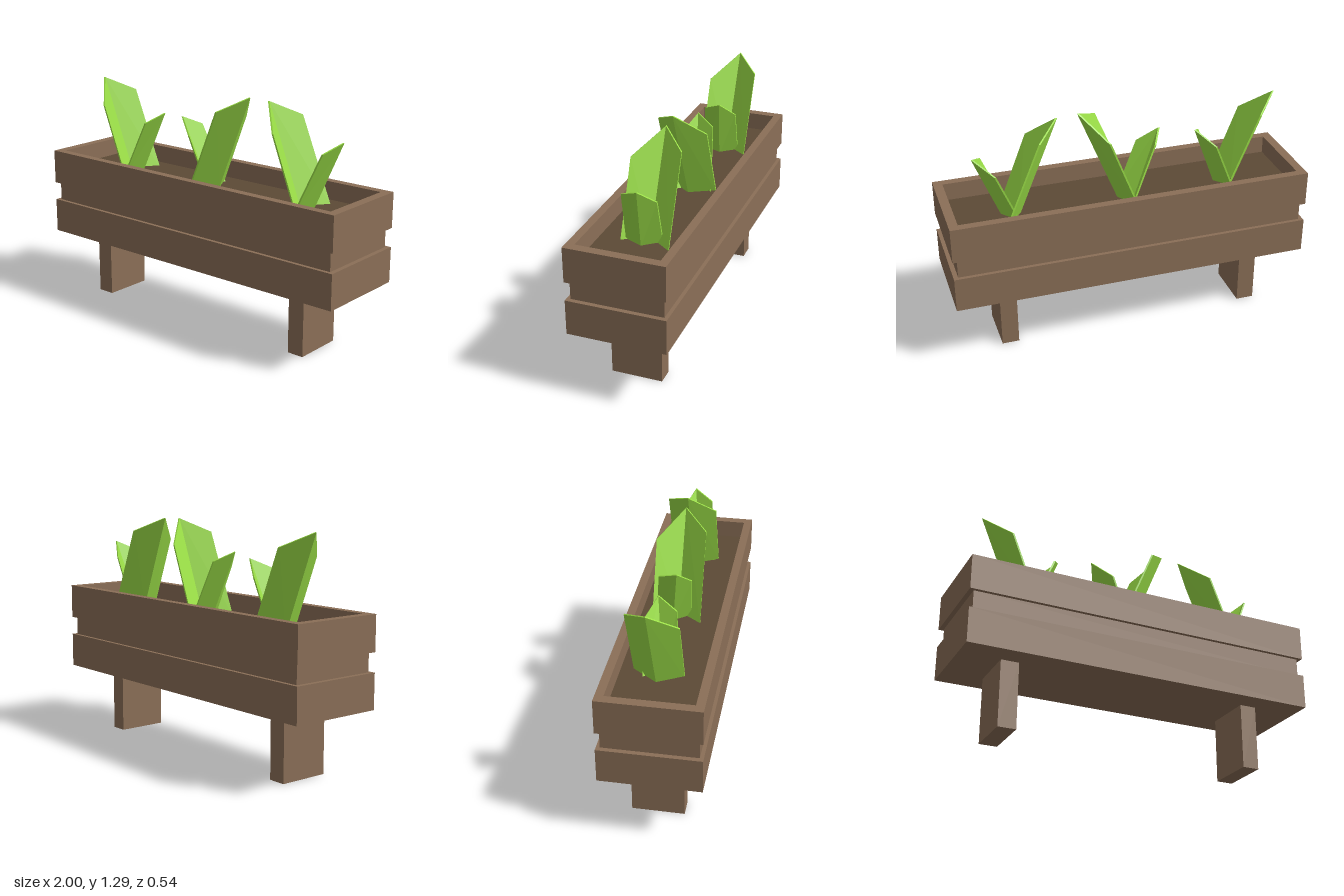
import * as THREE from 'three';

const wood = new THREE.MeshStandardMaterial({ color: 0x8b6f57, flatShading: true });
const earth = new THREE.MeshStandardMaterial({ color: 0x5c4a36, flatShading: true });
const green = new THREE.MeshStandardMaterial({ color: 0x9ce048, flatShading: true, side: THREE.DoubleSide });

function part(name, geometry, material, parent) {
  const mesh = new THREE.Mesh(geometry, material);
  mesh.name = name;
  parent.add(mesh);
  return mesh;
}

function box(name, x0, x1, y0, y1, halfDepth, material, parent) {
  const mesh = part(name, new THREE.BoxGeometry(x1 - x0, y1 - y0, halfDepth * 2), material, parent);
  mesh.position.set((x0 + x1) / 2, (y0 + y1) / 2, 0);
}

function rectangle(path, hx, hz) {
  path.moveTo(-hx, -hz);
  path.lineTo(hx, -hz);
  path.lineTo(hx, hz);
  path.lineTo(-hx, hz);
  path.closePath();
  return path;
}

// Rectangular wooden frame, open in the middle
function frame(name, hx, hz, y0, y1, parent) {
  const shape = rectangle(new THREE.Shape(), hx, hz);
  shape.holes.push(rectangle(new THREE.Path(), 0.95, 0.225));
  const geometry = new THREE.ExtrudeGeometry(shape, { depth: y1 - y0, bevelEnabled: false });
  geometry.rotateX(-Math.PI / 2);
  geometry.translate(0, y0, 0);
  part(name, geometry, wood, parent);
}

// Folded blade: base and top sections of [edge, keel, edge], thickened by t along x
function leafGeometry(base, top, t) {
  const ring = (s) => [...s, ...[...s].reverse().map(([x, y, z]) => [x + t, y, z])];
  const points = [...ring(base), ...ring(top)];
  const index = [];
  for (let i = 0; i < 6; i++) {
    const j = (i + 1) % 6;
    index.push(i, j, 6 + j, i, 6 + j, 6 + i);
  }
  // Thin end strips
  index.push(6, 7, 10, 6, 10, 11, 7, 8, 9, 7, 9, 10);
  index.push(0, 4, 1, 0, 5, 4, 1, 3, 2, 1, 4, 3);
  let geometry = new THREE.BufferGeometry();
  geometry.setAttribute('position', new THREE.Float32BufferAttribute(points.flat(), 3));
  geometry.setIndex(index);
  // Wind the faces outward whichever way the blade leans
  if (t < 0) geometry.setIndex(index.map((_, i) => index[i - (i % 3) + [0, 2, 1][i % 3]]));
  geometry = geometry.toNonIndexed();
  geometry.computeVertexNormals();
  return geometry;
}

export function createModel() {
  const model = new THREE.Group();
  model.name = 'planter';

  // Trough of three plank bands, with a floor and soil
  frame('lowerBand', 1, 0.27, 0.365, 0.56, model);
  frame('middleBand', 0.975, 0.25, 0.56, 0.665, model);
  frame('upperBand', 1, 0.27, 0.665, 0.86, model);
  box('floor', -0.95, 0.95, 0.365, 0.4, 0.225, wood, model);
  box('soil', -0.95, 0.95, 0.4, 0.76, 0.225, earth, model);

  // Legs
  box('rightLeg', -0.775, -0.675, 0, 0.365, 0.142, wood, model);
  box('leftLeg', 0.65, 0.745, 0, 0.365, 0.142, wood, model);

  // Plants, each a tall and a short leaf leaning apart
  const tallLeaf = leafGeometry(
    [[0.045, 0.75, 0.11], [-0.03, 0.75, -0.025], [0.07, 0.75, -0.16]],
    [[-0.115, 1.155, 0.11], [-0.25, 1.29, -0.03], [-0.125, 1.215, -0.16]], 0.01);
  const shortLeaf = leafGeometry(
    [[0.025, 0.75, 0.09], [0.07, 0.75, -0.01], [-0.005, 0.75, -0.1]],
    [[0.165, 1.08, 0.05], [0.22, 1.13, -0.055], [0.115, 1.04, -0.118]], -0.01);
  for (const [x, y, z, turn] of [[-0.62, -0.015, 0, 0], [0, 0.003, -0.05, Math.PI], [0.61, 0, 0, 0]]) {
    const plant = new THREE.Group();
    plant.name = 'plant';
    part('tallLeaf', tallLeaf, green, plant);
    part('shortLeaf', shortLeaf, green, plant);
    plant.position.set(x, y, z);
    plant.rotation.y = turn;
    model.add(plant);
  }
  return model;
}
